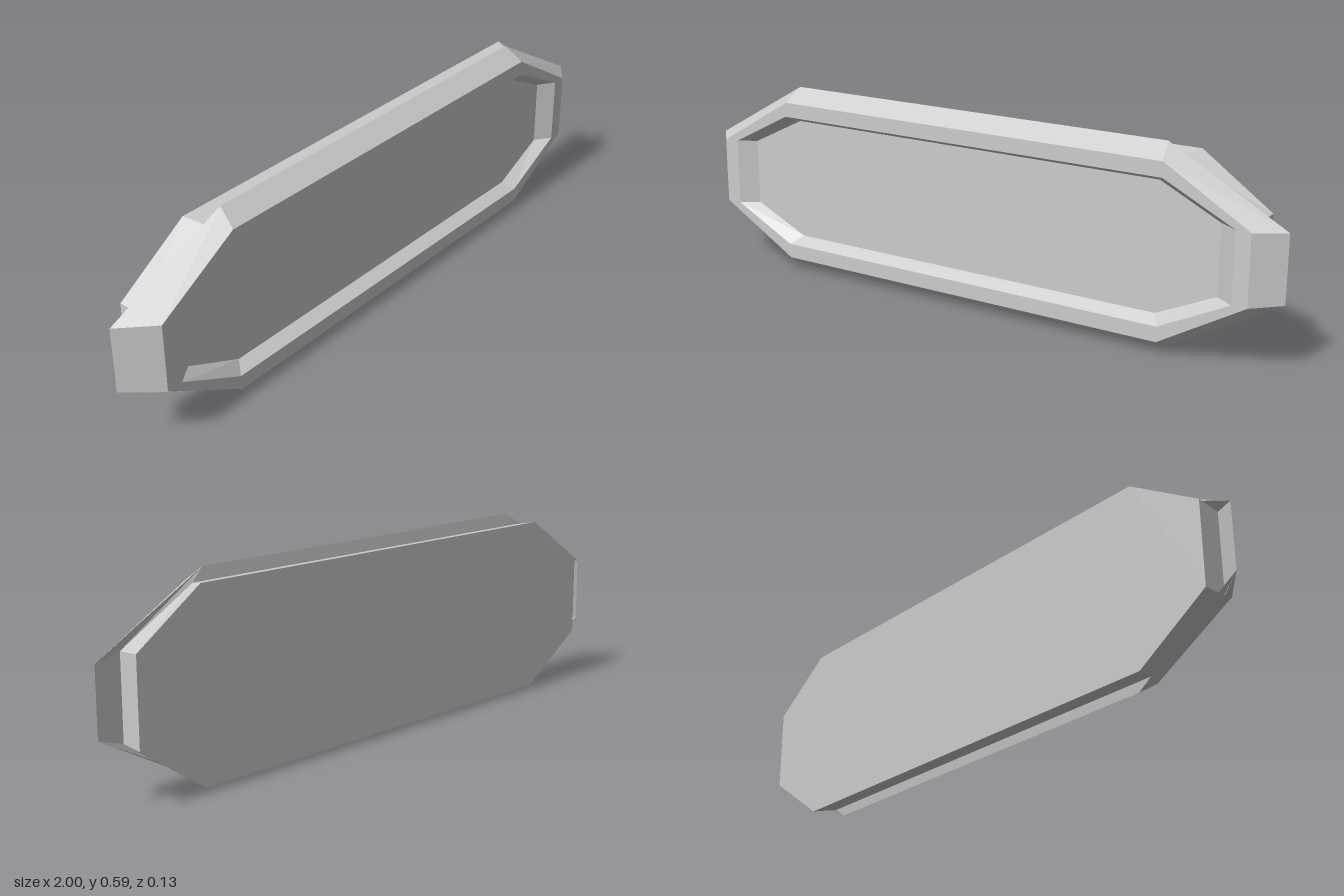
import * as THREE from 'three';

const material = new THREE.MeshStandardMaterial({ color: 0xcccccc, flatShading: true });

// Eight-sided ring, counter-clockwise from the front.
// xl/xr: ends, cl/cr: where the corners start, yb/yt: bottom and top,
// sb/st: bottom and top of the short end sides, zl/zr: depth of the ends.
function ring({ xl, xr, cl, cr, yb, yt, sb, st, z, zl = z, zr = z }) {
  return [
    [cl, yb, z], [cr, yb, z], [xr, sb, zr], [xr, st, zr],
    [cr, yt, z], [cl, yt, z], [xl, st, zl], [xl, sb, zl],
  ];
}

function addMesh(group, name, triangles) {
  const geometry = new THREE.BufferGeometry();
  geometry.setAttribute('position', new THREE.Float32BufferAttribute(triangles.flat(), 3));
  geometry.computeVertexNormals();
  const mesh = new THREE.Mesh(geometry, material);
  mesh.name = name;
  group.add(mesh);
}

// Band of quads joining each ring to the next
function loft(rings) {
  const out = [];
  for (let r = 0; r < rings.length - 1; r++) {
    const a = rings[r], b = rings[r + 1];
    for (let i = 0; i < a.length; i++) {
      const j = (i + 1) % a.length;
      out.push(a[i], a[j], b[j], a[i], b[j], b[i]);
    }
  }
  return out;
}

// Flat fan closing a ring
function cap(points) {
  const out = [];
  for (let i = 1; i < points.length - 1; i++) out.push(points[0], points[i], points[i + 1]);
  return out;
}

export function createModel() {
  const group = new THREE.Group();
  group.name = 'octagonalTray';

  const back = ring({ xl: -0.93, xr: 0.925, cl: -0.7, cr: 0.715, yb: 0.018, yt: 0.562, sb: 0.165, st: 0.415, z: -0.063 });
  const neck = ring({ xl: -0.925, xr: 0.92, cl: -0.68, cr: 0.685, yb: 0.03, yt: 0.55, sb: 0.17, st: 0.41, z: 0.003, zl: 0.015, zr: 0.008 });
  const outer = ring({ xl: -1, xr: 1, cl: -0.633, cr: 0.648, yb: 0.002, yt: 0.588, sb: 0.195, st: 0.392, z: 0.007, zl: -0.028, zr: 0.005 });
  const front = ring({ xl: -0.91, xr: 0.92, cl: -0.647, cr: 0.662, yb: 0.038, yt: 0.545, sb: 0.188, st: 0.393, z: 0.063 });
  const lip = ring({ xl: -0.86, xr: 0.875, cl: -0.65, cr: 0.662, yb: 0.083, yt: 0.5, sb: 0.188, st: 0.395, z: 0.063 });
  const floor = ring({ xl: -0.805, xr: 0.82, cl: -0.62, cr: 0.638, yb: 0.107, yt: 0.484, sb: 0.19, st: 0.395, z: 0.028 });

  // Rear block with its flat back
  addMesh(group, 'backBlock', [...cap([...back].reverse()), ...loft([back, neck])]);
  // Flared flange: step out behind, bevel in front, flat front rim
  addMesh(group, 'flange', loft([neck, outer, front, lip]));
  // Shallow recess
  addMesh(group, 'recessWalls', loft([lip, floor]));
  addMesh(group, 'recessFloor', cap(floor));

  return group;
}
